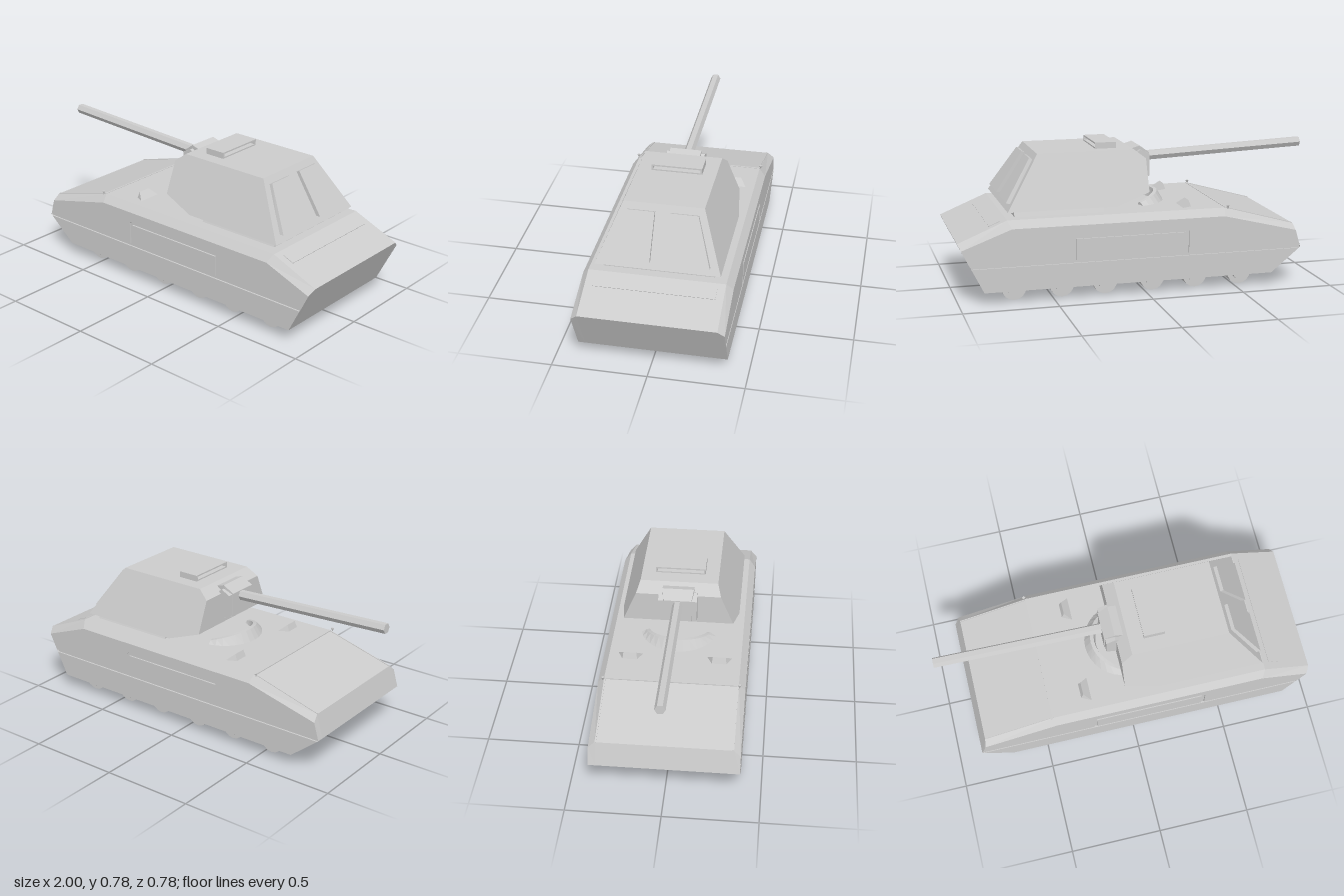
import * as THREE from 'three';

const material = new THREE.MeshStandardMaterial({ color: 0xcccccc, flatShading: true, side: THREE.DoubleSide });

// Skin over a list of rings, each an anticlockwise list of [x, y, z]
function loft(rings, caps = true) {
  const pos = [];
  const tri = (a, b, c) => pos.push(...a, ...b, ...c);
  const n = rings[0].length;
  for (let i = 0; i + 1 < rings.length; i++) {
    for (let j = 0; j < n; j++) {
      const k = (j + 1) % n;
      tri(rings[i][j], rings[i][k], rings[i + 1][k]);
      tri(rings[i][j], rings[i + 1][k], rings[i + 1][j]);
    }
  }
  if (caps) {
    const first = rings[0], last = rings[rings.length - 1];
    for (let j = 1; j + 1 < n; j++) {
      tri(first[0], first[j + 1], first[j]);
      tri(last[0], last[j], last[j + 1]);
    }
  }
  const g = new THREE.BufferGeometry();
  g.setAttribute('position', new THREE.Float32BufferAttribute(pos, 3));
  g.computeVertexNormals();
  return g;
}

// Side profile with its own half width at each point, mirrored in z
const across = (profile, half) => loft([-1, 1].map(s =>
  profile.map(([x, y], i) => [x, y, s * (Array.isArray(half) ? half[i] : half)])));

const ringAt = (profile, z) => profile.map(([x, y]) => [x, y, z]);
const shapeOf = pts => new THREE.Shape(pts.map(p => new THREE.Vector2(...p)));

export function createModel() {
  const group = new THREE.Group();
  const add = (name, geometry, x = 0, y = 0, z = 0) => {
    const mesh = new THREE.Mesh(geometry, material);
    mesh.name = name;
    mesh.position.set(x, y, z);
    group.add(mesh);
    return mesh;
  };

  // Hull skin with bevelled upper edges
  const inner = [[-0.7, 0.066], [0.87, 0.066], [1, 0.327], [0.74, 0.435], [-0.44, 0.435], [-0.83, 0.327], [-0.865, 0.2]];
  const outer = [[-0.7, 0.066], [0.87, 0.066], [0.985, 0.295], [0.72, 0.395], [-0.43, 0.395], [-0.837, 0.295], [-0.865, 0.2]];
  add('hull', loft([ringAt(outer, -0.39), ringAt(inner, -0.355), ringAt(inner, 0.355), ringAt(outer, 0.39)], false));

  // Side panels, separated by a narrow groove that steps round a door
  const lower = [[-0.7, 0.066], [0.87, 0.066], [0.934, 0.194], [-0.858, 0.194]];
  const upper = [[-0.862, 0.208], [-0.23, 0.208], [-0.23, 0.33], [-0.22, 0.34], [0.39, 0.34], [0.4, 0.33],
    [0.4, 0.208], [0.942, 0.208], [0.985, 0.295], [0.72, 0.395], [-0.43, 0.395], [-0.837, 0.295]];
  const door = [[-0.212, 0.208], [0.382, 0.208], [0.382, 0.322], [-0.212, 0.322]];
  for (const s of [-1, 1]) {
    add('sideBacking', new THREE.ShapeGeometry(shapeOf(outer)), 0, 0, s * 0.381);
    for (const [name, pts] of [['lowerSidePanel', lower], ['upperSidePanel', upper], ['sideDoor', door]]) {
      const g = new THREE.ExtrudeGeometry(shapeOf(pts), { depth: 0.01, bevelEnabled: false });
      add(name, g, 0, 0, s > 0 ? 0.38 : -0.39);
    }
  }

  // Belly plate and six full-width rollers with hubs
  add('bellyPlate', new THREE.BoxGeometry(1.36, 0.03, 0.62), 0.08, 0.06, 0);
  for (const x of [-0.535, -0.283, -0.043, 0.215, 0.45, 0.705]) {
    const roller = add('roller', new THREE.CylinderGeometry(0.065, 0.065, 0.652, 16), x, 0.065, 0);
    const hub = add('rollerHub', new THREE.CylinderGeometry(0.04, 0.04, 0.704, 12), x, 0.067, 0);
    roller.rotation.x = hub.rotation.x = Math.PI / 2;
  }

  // Front deck seams and hinge pins
  add('deckSeam', new THREE.BoxGeometry(0.01, 0.006, 0.71), -0.445, 0.434, 0);
  for (const s of [-1, 1]) {
    const edge = add('deckEdge', new THREE.BoxGeometry(0.4, 0.005, 0.006), -0.637, 0.381, s * 0.35);
    edge.rotation.z = Math.atan2(0.108, 0.39);
    const pin = add('hingePin', new THREE.ConeGeometry(0.01, 0.022, 4), -0.455, 0.437, s * 0.36);
    pin.rotation.x = Math.PI;
  }

  // Headlamp wedges on the deck
  for (const s of [-1, 1]) {
    add('lampWedge', across([[-0.275, 0.43], [-0.215, 0.43], [-0.26, 0.47]], [0.04, 0.07, 0.035]), 0, 0, s * 0.24);
  }

  // Rear deck vent strip
  const vent = add('rearVent', new THREE.BoxGeometry(0.063, 0.006, 0.63), 0.8, 0.41, 0);
  vent.rotation.z = -Math.atan2(0.108, 0.26);

  // Curved splash guard ahead of the turret
  const guard = [];
  for (let i = 0; i <= 14; i++) {
    const a = (i / 14 - 0.5) * 2.6, h = 0.435 + 0.055 * Math.cos(a);
    guard.push([[0.22, 0.43], [0.155, 0.43], [0.165, h], [0.185, h]].map(([r, y]) =>
      [0.03 - r * Math.cos(a), y, r * Math.sin(a)]));
  }
  add('splashGuard', loft(guard));

  // Turret, narrowing evenly towards the roof
  const turret = [[-0.035, 0.53], [0.15, 0.467], [0.73, 0.467], [0.55, 0.747], [0.025, 0.747], [-0.035, 0.7]];
  add('turretBase', across([[0.21, 0.43], [0.69, 0.43], [0.69, 0.47], [0.21, 0.47]], [0.292, 0.292, 0.272, 0.272]));
  add('turret', across(turret, turret.map(([, y]) => 0.325 - 0.41 * (y - 0.467))));

  // Twin raised plates on the sloping turret rear
  const slope = y => 0.73 - (y - 0.467) * 0.643;
  const plate = [[slope(0.5) - 0.01, 0.5], [slope(0.5) + 0.022, 0.505], [slope(0.715) + 0.018, 0.722], [slope(0.715) - 0.01, 0.71]];
  const wide = [0.268, 0.268, 0.185, 0.185];
  for (const s of [-1, 1]) {
    const rings = [ringAt(plate, s * 0.04), plate.map(([x, y], i) => [x, y, s * wide[i]])];
    add('rearPlate', loft(s > 0 ? rings : rings.reverse()));
  }

  // Open roof sight, hollow from front to back
  const frame = shapeOf([[-0.136, 0], [0.136, 0], [0.136, 0.034], [-0.136, 0.034]]);
  frame.holes.push(new THREE.Path([[-0.126, 0.008], [-0.126, 0.026], [0.126, 0.026], [0.126, 0.008]].map(p => new THREE.Vector2(...p))));
  const sight = add('roofSight', new THREE.ExtrudeGeometry(frame, { depth: 0.114, bevelEnabled: false }), 0.106, 0.746, 0);
  sight.rotation.y = Math.PI / 2;

  // Gun mantlet with cheeks, and hexagonal barrel
  add('mantlet', across([[-0.095, 0.575], [-0.035, 0.555], [0.02, 0.6], [0.02, 0.727], [-0.04, 0.745], [-0.095, 0.705]],
    [0.075, 0.085, 0.085, 0.085, 0.085, 0.075]));
  for (const s of [-1, 1]) {
    add('mantletCheek', across([[-0.09, 0.58], [-0.03, 0.56], [0, 0.6], [0, 0.7], [-0.04, 0.725], [-0.09, 0.7]], 0.014), 0, 0, s * 0.09);
  }
  const barrel = add('barrel', new THREE.CylinderGeometry(0.028, 0.028, 0.92, 6), -0.539, 0.695, 0);
  barrel.rotation.z = Math.PI / 2 - Math.atan2(0.04, 0.92);
  return group;
}
